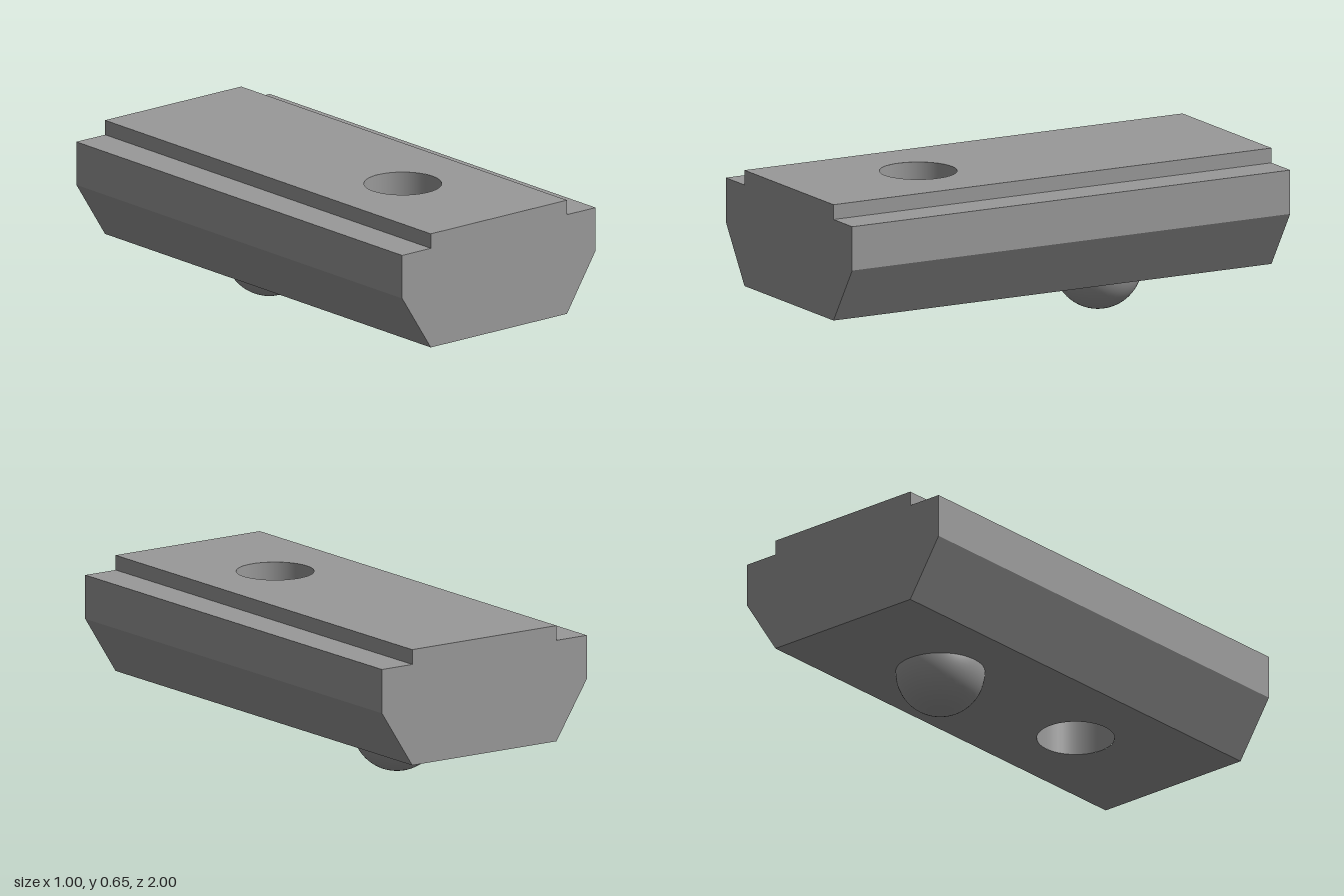
import * as THREE from 'three';

const HALF_LENGTH = 1, BOTTOM = 0.18, TOP = 0.65, HALF_TOP = 0.352;
const HOLE_Z = 0.41, HOLE_R = 0.154, BALL_Z = -0.41, BALL_R = 0.177;

// Cross-section of the bar, counter-clockwise as seen from the front
const right = [[HALF_TOP, BOTTOM], [0.5, 0.412], [0.5, 0.59], [HALF_TOP, 0.59], [HALF_TOP, TOP]];
const section = [...right, ...right.map(([x, y]) => [-x, y]).reverse()];

// Long flat faces of one flank, given a run of section points
function stripGeometry(points) {
  const positions = [];
  for (let i = 0; i < points.length - 1; i++) {
    const [ax, ay] = points[i], [bx, by] = points[i + 1], z = HALF_LENGTH;
    positions.push(ax, ay, z, ax, ay, -z, bx, by, -z, ax, ay, z, bx, by, -z, bx, by, z);
  }
  const geometry = new THREE.BufferGeometry();
  geometry.setAttribute('position', new THREE.Float32BufferAttribute(positions, 3));
  geometry.computeVertexNormals();
  return geometry;
}

// Flat rectangle with the round hole, turned to face up or down
function piercedFace(up) {
  const s = up ? -1 : 1; // shape y maps to s * z
  const shape = new THREE.Shape();
  shape.moveTo(-HALF_TOP, -HALF_LENGTH).lineTo(HALF_TOP, -HALF_LENGTH);
  shape.lineTo(HALF_TOP, HALF_LENGTH).lineTo(-HALF_TOP, HALF_LENGTH).closePath();
  shape.holes.push(new THREE.Path().absarc(0, s * HOLE_Z, HOLE_R, 0, Math.PI * 2, true));
  return new THREE.ShapeGeometry(shape, 48).rotateX(s * Math.PI / 2).translate(0, up ? TOP : BOTTOM, 0);
}

export function createModel() {
  const model = new THREE.Group();
  const steel = new THREE.MeshStandardMaterial({ color: 0x999999 });
  steel.name = 'steelGrey';
  const inside = new THREE.MeshStandardMaterial({ color: 0x999999, side: THREE.BackSide });
  inside.name = 'steelGrey';

  const add = (name, geometry, material = steel) => {
    const mesh = new THREE.Mesh(geometry, material);
    mesh.name = name;
    model.add(mesh);
    return mesh;
  };

  // Bar: two stepped flanks, two ends, pierced top and bottom
  add('leftFlank', stripGeometry(section.slice(0, 5)));
  add('rightFlank', stripGeometry(section.slice(5)));
  const endShape = new THREE.Shape(section.map(([x, y]) => new THREE.Vector2(x, y)));
  add('frontEnd', new THREE.ShapeGeometry(endShape)).position.z = HALF_LENGTH;
  const backEnd = add('backEnd', new THREE.ShapeGeometry(endShape));
  backEnd.rotation.y = Math.PI;
  backEnd.position.z = -HALF_LENGTH;
  add('topFace', piercedFace(true));
  add('bottomFace', piercedFace(false));

  // Wall of the through hole
  const bore = new THREE.CylinderGeometry(HOLE_R, HOLE_R, TOP - BOTTOM, 48, 1, true).rotateY(Math.PI / 2);
  add('holeWall', bore, inside).position.set(0, (TOP + BOTTOM) / 2, HOLE_Z);

  // Spring ball protruding from the underside
  const start = Math.PI / 2 - 0.02;
  const ball = new THREE.SphereGeometry(BALL_R, 48, 16, 0, Math.PI * 2, start, Math.PI - start);
  add('ball', ball).position.set(0, BALL_R, BALL_Z);

  return model;
}
